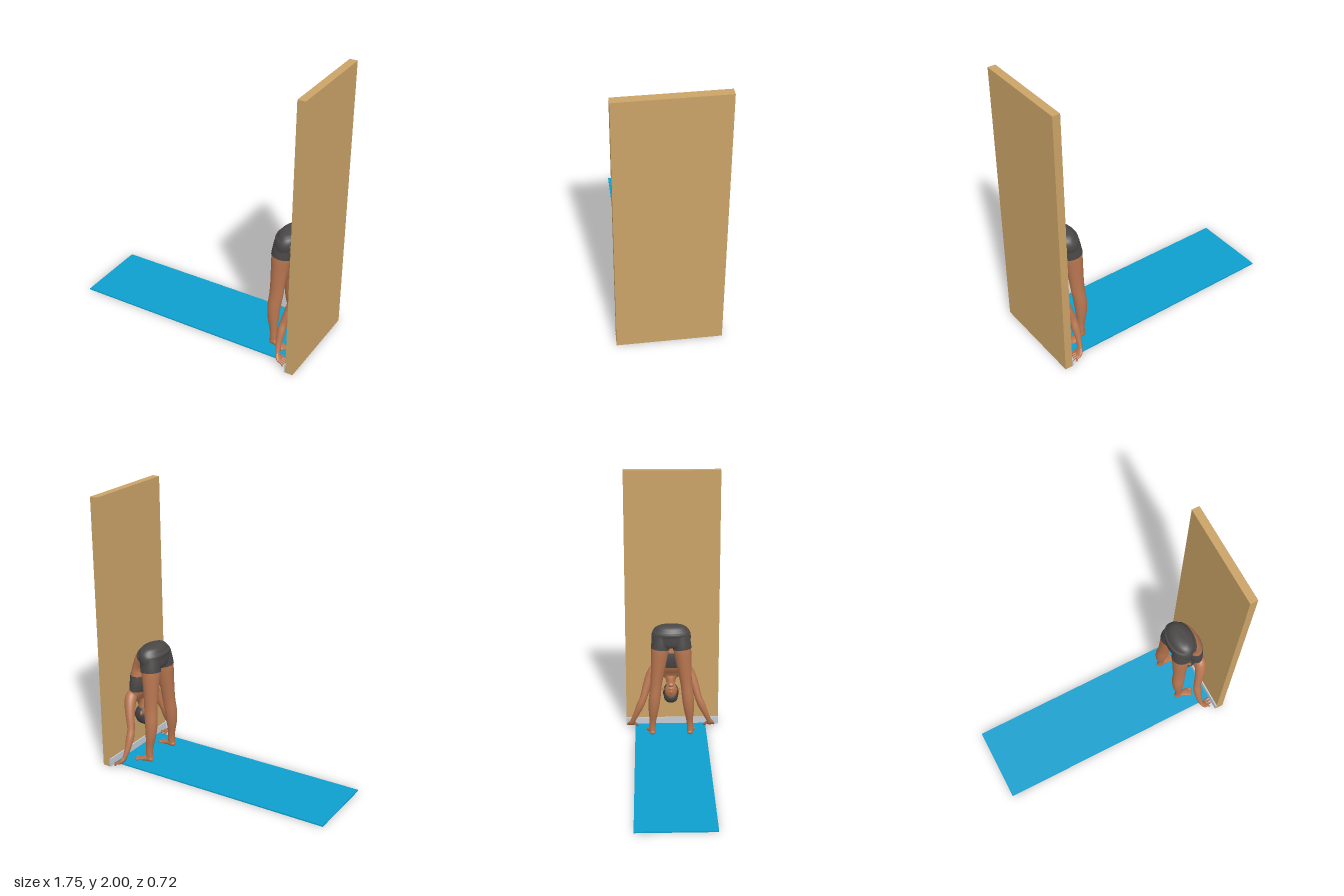
import * as THREE from 'three';

const mat = (name, color) => {
  const m = new THREE.MeshStandardMaterial({ color });
  m.name = name;
  return m;
};

// Smooth body form: sections are [x, y, z, halfDepth, halfWidth]; from/to select a span of sections
function loft(sections, from = 0, to = sections.length - 1, sides = 24, steps = 5) {
  const last = sections.length - 1;
  const path = new THREE.CatmullRomCurve3(sections.map(s => new THREE.Vector3(s[0], s[1], s[2])), false, 'catmullrom');
  const size = new THREE.CatmullRomCurve3(sections.map(s => new THREE.Vector3(s[3], s[4], 0)), false, 'catmullrom');
  const rows = Math.max(2, Math.round((to - from) * steps));
  const pos = [], index = [], rings = [];
  for (let r = 0; r <= rows; r++) {
    const t = (from + (to - from) * r / rows) / last;
    const c = path.getPoint(t), h = size.getPoint(t), T = path.getTangent(t);
    const S = new THREE.Vector3(0, 0, 1).addScaledVector(T, -T.z).normalize();
    const D = new THREE.Vector3().crossVectors(T, S);
    const ring = [];
    for (let i = 0; i < sides; i++) {
      const a = i / sides * Math.PI * 2;
      ring.push(c.clone().addScaledVector(D, Math.cos(a) * h.x).addScaledVector(S, Math.sin(a) * h.y));
    }
    rings.push({ c, ring });
    ring.forEach(p => pos.push(p.x, p.y, p.z));
  }
  for (let r = 0; r < rows; r++) {
    for (let i = 0; i < sides; i++) {
      const a = r * sides + i, b = r * sides + (i + 1) % sides;
      index.push(a, a + sides, b, b, a + sides, b + sides);
    }
  }
  // End caps with their own vertices
  [rings[0], rings[rows]].forEach(({ c, ring }, end) => {
    const k = pos.length / 3;
    [c, ...ring].forEach(p => pos.push(p.x, p.y, p.z));
    for (let i = 0; i < sides; i++) {
      const a = k + 1 + i, b = k + 1 + (i + 1) % sides;
      if (end) index.push(k, b, a); else index.push(k, a, b);
    }
  });
  const g = new THREE.BufferGeometry();
  g.setAttribute('position', new THREE.Float32BufferAttribute(pos, 3));
  g.setIndex(index);
  g.computeVertexNormals();
  return g;
}

export function createModel() {
  const model = new THREE.Group();
  model.name = 'wallForwardFold';
  const skin = mat('skin', 0xb87650), cloth = mat('charcoalCloth', 0x4a4747), hairMat = mat('darkHair', 0x444243);
  const wood = mat('tanWall', 0xcaa367), blue = mat('blueMat', 0x0e9fce), grey = mat('paleSkirting', 0xc3cbd6);

  const add = (parent, name, geo, material, x = 0, y = 0, z = 0) => {
    const m = new THREE.Mesh(geo, material);
    m.name = name;
    m.position.set(x, y, z);
    parent.add(m);
    return m;
  };
  const ball = (parent, name, material, x, y, z, rx, ry, rz) => {
    const m = add(parent, name, new THREE.SphereGeometry(1, 28, 20), material, x, y, z);
    m.scale.set(rx, ry, rz);
    return m;
  };

  // Room pieces
  add(model, 'wall', new THREE.BoxGeometry(0.055, 2, 0.716), wood, 0.8475, 1, 0);
  add(model, 'skirtingBoard', new THREE.BoxGeometry(0.01, 0.06, 0.716), grey, 0.815, 0.03, 0);
  add(model, 'exerciseMat', new THREE.BoxGeometry(1.685, 0.01, 0.545), blue, -0.0325, 0.005, -0.0155);

  const figure = new THREE.Group();
  figure.name = 'figure';
  figure.position.z = -0.013;
  model.add(figure);

  // Hips
  const hips = [
    [0.615, 0.715, 0, 0.05, 0.1], [0.618, 0.745, 0, 0.073, 0.137], [0.634, 0.79, 0, 0.093, 0.147],
    [0.64, 0.83, 0, 0.093, 0.14], [0.637, 0.862, 0, 0.07, 0.115], [0.636, 0.879, 0, 0.042, 0.08],
    [0.636, 0.885, 0, 0.006, 0.02],
  ];
  add(figure, 'shortsHips', loft(hips, 0, 6, 36), cloth);

  // Torso hanging down from the hips, with a chest band
  const torso = [
    [0.65, 0.815, 0, 0.055, 0.125], [0.7, 0.785, 0, 0.062, 0.122], [0.738, 0.71, 0, 0.055, 0.113],
    [0.746, 0.645, 0, 0.066, 0.12], [0.747, 0.59, 0, 0.07, 0.128], [0.754, 0.53, 0, 0.063, 0.132],
    [0.768, 0.475, 0, 0.048, 0.135], [0.77, 0.435, 0, 0.036, 0.09], [0.762, 0.405, 0, 0.034, 0.04],
    [0.75, 0.34, 0, 0.032, 0.034],
  ];
  add(figure, 'torso', loft(torso, 0, 9, 36), skin);
  const band = torso.map(([x, y, z, a, b]) => [x, y, z, a + 0.003, b + 0.003]);
  add(figure, 'chestBand', loft(band, 3, 5, 36), cloth);
  add(figure, 'waistband', loft(band, 0, 0.9, 36), cloth);

  // Inverted head facing the shins
  ball(figure, 'hair', hairMat, 0.753, 0.298, 0, 0.066, 0.074, 0.06);
  const face = ball(figure, 'face', skin, 0.712, 0.325, 0, 0.047, 0.07, 0.047);
  face.rotation.z = 0.25;
  ball(figure, 'hairline', hairMat, 0.723, 0.271, 0, 0.048, 0.047, 0.053);
  ball(figure, 'chin', skin, 0.683, 0.385, 0, 0.021, 0.018, 0.024);
  ball(figure, 'nose', skin, 0.661, 0.333, 0, 0.012, 0.018, 0.009);
  ball(figure, 'lips', skin, 0.664, 0.36, 0, 0.009, 0.008, 0.016);

  for (const s of [1, -1]) {
    const limb = new THREE.Group();
    limb.name = s > 0 ? 'leftLimbs' : 'rightLimbs';
    figure.add(limb);
    const side = list => list.map(([x, y, z, a, b]) => [x, y, z * s, a, b ?? a]);

    ball(limb, 'ear', skin, 0.733, 0.33, 0.057 * s, 0.012, 0.018, 0.008);

    // Leg, from hip to ankle
    const leg = side([
      [0.63, 0.8, 0.072, 0.07, 0.062], [0.617, 0.7, 0.083, 0.07, 0.066], [0.61, 0.6, 0.094, 0.06, 0.058],
      [0.606, 0.5, 0.105, 0.052, 0.049], [0.603, 0.41, 0.115, 0.049, 0.043], [0.595, 0.31, 0.126, 0.046, 0.044],
      [0.596, 0.22, 0.134, 0.039, 0.038], [0.604, 0.13, 0.14, 0.027, 0.026], [0.608, 0.075, 0.143, 0.026, 0.024],
      [0.608, 0.03, 0.144, 0.028, 0.023],
    ]);
    add(limb, 'leg', loft(leg), skin);
    const cuff = leg.map(([x, y, z, a, b]) => [x, y, z, a + 0.004, b + 0.004]);
    add(limb, 'shortsLeg', loft(cuff, 0, 0.97), cloth);

    // Foot and toes
    const foot = side([
      [0.578, 0.026, 0.143, 0.006, 0.008], [0.588, 0.029, 0.143, 0.018, 0.02], [0.615, 0.036, 0.145, 0.025, 0.024],
      [0.65, 0.029, 0.151, 0.018, 0.027], [0.685, 0.021, 0.157, 0.011, 0.031], [0.702, 0.018, 0.16, 0.007, 0.028],
    ]);
    add(limb, 'foot', loft(foot), skin);
    for (let i = 0; i < 5; i++) {
      ball(limb, 'toe', skin, 0.713 - i * 0.005, 0.018, (0.139 + i * 0.0115) * s, 0.015, 0.008, i ? 0.006 : 0.008);
    }

    // Arm, from shoulder to wrist
    const arm = side([
      [0.773, 0.51, 0.09, 0.035], [0.77, 0.475, 0.125, 0.043], [0.757, 0.42, 0.158, 0.039],
      [0.737, 0.35, 0.186, 0.032], [0.716, 0.27, 0.21, 0.027], [0.711, 0.21, 0.234, 0.029],
      [0.711, 0.14, 0.265, 0.022], [0.718, 0.085, 0.289, 0.016, 0.019], [0.726, 0.058, 0.299, 0.015, 0.021],
    ]);
    add(limb, 'arm', loft(arm), skin);

    // Hand with spread fingertips on the floor
    const hand = side([
      [0.718, 0.08, 0.291, 0.013, 0.016], [0.727, 0.057, 0.3, 0.015, 0.025], [0.742, 0.04, 0.306, 0.013, 0.03],
      [0.756, 0.031, 0.308, 0.009, 0.027],
    ]);
    add(limb, 'palm', loft(hand), skin);
    const fingers = [[0.287, 0.272, 0.8], [0.3, 0.294, 0.808], [0.314, 0.316, 0.802], [0.327, 0.335, 0.785]];
    for (const [z0, z1, x1] of fingers) {
      const finger = side([
        [0.745, 0.036, z0, 0.009], [0.77, 0.029, (z0 + z1) / 2, 0.007], [x1 - 0.008, 0.016, z1, 0.006], [x1, 0.013, z1, 0.002],
      ]);
      add(limb, 'finger', loft(finger, 0, 3, 10, 3), skin);
    }
    const thumb = side([[0.728, 0.055, 0.283, 0.011], [0.742, 0.034, 0.266, 0.009], [0.757, 0.018, 0.257, 0.006], [0.762, 0.014, 0.255, 0.002]]);
    add(limb, 'thumb', loft(thumb, 0, 3, 10, 3), skin);
  }

  return model;
}
